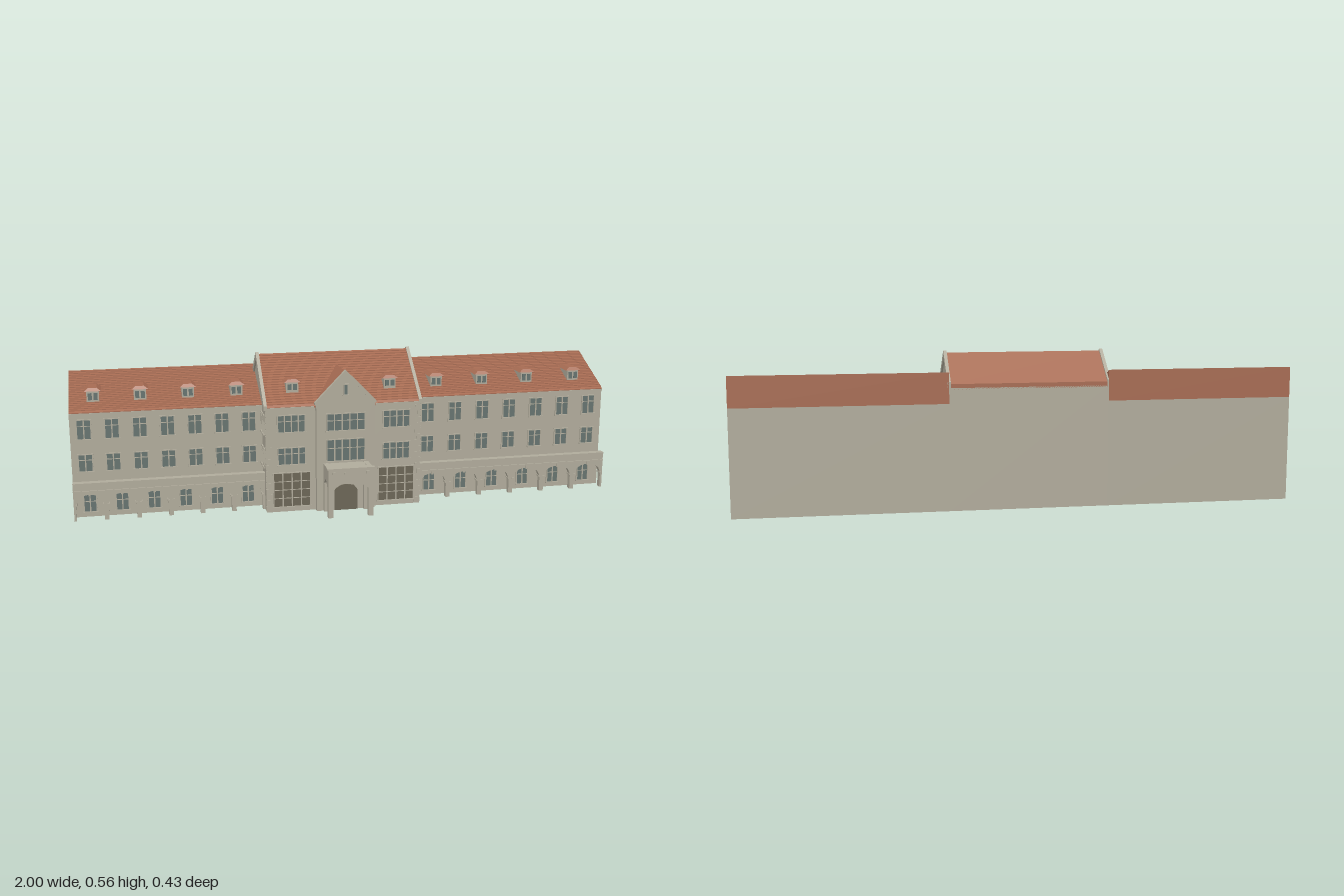
import * as THREE from 'three';
import { mergeGeometries } from 'three/addons/utils/BufferGeometryUtils.js';

const mat = (name, color, side = THREE.FrontSide) => {
  const m = new THREE.MeshStandardMaterial({ color, side });
  m.name = name;
  return m;
};

export function createModel() {
  const root = new THREE.Group();
  root.name = 'schoolBuilding';
  const wall = mat('stone wall', 0xb0ab9b, THREE.DoubleSide);
  const tile = mat('roof tile', 0xa66b52);
  const glass = mat('window glass', 0x66736f);
  const wood = mat('brown joinery', 0x6c6656);

  const add = (name, geo, m, parent = root) => {
    const mesh = new THREE.Mesh(geo, m);
    mesh.name = name;
    parent.add(mesh);
    return mesh;
  };
  // box given by its limits
  const box = (x0, x1, y0, y1, z0, z1) =>
    new THREE.BoxGeometry(x1 - x0, y1 - y0, z1 - z0).translate((x0 + x1) / 2, (y0 + y1) / 2, (z0 + z1) / 2);
  const shapeOf = pts => new THREE.Shape(pts.map(p => new THREE.Vector2(p[0], p[1])));
  // [x, y] outline extruded from z0 to z1
  const alongZ = (pts, z0, z1) =>
    new THREE.ExtrudeGeometry(shapeOf(pts), { depth: z1 - z0, bevelEnabled: false }).translate(0, 0, z0);
  // [z, y] outline extruded from x0 to x1
  const alongX = (pts, x0, x1) =>
    new THREE.ExtrudeGeometry(shapeOf(pts.map(([z, y]) => [-z, y])), { depth: x1 - x0, bevelEnabled: false })
      .rotateY(Math.PI / 2).translate(x0, 0, 0);
  // removes the faces lying on the ground, leaving an open shell
  const openBottom = geo => {
    const g = geo.index ? geo.toNonIndexed() : geo;
    const p = g.attributes.position, index = [];
    for (let i = 0; i < p.count; i += 3) {
      if (Math.max(p.getY(i), p.getY(i + 1), p.getY(i + 2)) > 0.001) index.push(i, i + 1, i + 2);
    }
    g.setIndex(index);
    return g;
  };
  // wall outline with arched openings that reach the ground
  const archOutline = (x0, x1, top, openings, spring, crown, pointed) => {
    const pts = [[x0, 0], [x0, top], [x1, top], [x1, 0]];
    for (const [l, r] of [...openings].reverse()) {
      pts.push([r, 0]);
      for (let i = 0; i <= 12; i++) {
        const t = 1 - i / 6;
        const k = pointed ? 1 - Math.abs(t) ** 1.3 : Math.sqrt(Math.max(0, 1 - t * t));
        pts.push([(l + r) / 2 + t * (r - l) / 2, spring + (crown - spring) * k]);
      }
      pts.push([l, 0]);
    }
    return pts;
  };
  // sawtooth line of tile courses rising from a to b in [z, y]
  const courses = (a, b, n, lip) => {
    const pts = [];
    for (let i = 0; i < n; i++) {
      const at = t => [a[0] + (b[0] - a[0]) * t, a[1] + (b[1] - a[1]) * t];
      const p = at(i / n), q = at((i + 1) / n);
      pts.push([p[0], p[1] + (i ? lip : 0)], q);
    }
    return pts;
  };
  // window facing +z with its base centre at the group origin
  const windowUnit = (name, x, y, z, w, h, cols, bars, pane = glass, turn = 0) => {
    const g = new THREE.Group();
    g.name = name;
    g.position.set(x, y, z);
    g.rotation.y = turn;
    add('pane', box(-w / 2, w / 2, 0, h, 0, 0.002), pane, g);
    const parts = [
      box(-w / 2 - 0.004, w / 2 + 0.004, -0.005, 0, 0, 0.008),
      box(-w / 2 - 0.003, w / 2 + 0.003, h, h + 0.003, 0, 0.005),
    ];
    for (let i = 0; i <= cols; i++) {
      const c = -w / 2 + w * i / cols, t = 0.0022;
      parts.push(box(c - t, c + t, 0, h, 0, 0.005));
    }
    for (const f of bars) parts.push(box(-w / 2, w / 2, h * f - 0.0012, h * f + 0.0012, 0, 0.004));
    add('frame', mergeGeometries(parts), wall, g);
    root.add(g);
  };
  // hipped dormer: front wall at z, base at y
  const dormer = (x, y, z, h, len) => {
    const g = new THREE.Group();
    g.name = 'dormer';
    g.position.set(x, y, z);
    add('dormerWall', box(-0.022, 0.022, -0.01, h, -len + 0.01, 0), wall, g);
    for (const s of [-1, 1]) add('dormerPane', box(s * 0.01 - 0.007, s * 0.01 + 0.007, 0.008, h - 0.007, 0, 0.002), glass, g);
    const roof = new THREE.BoxGeometry(0.06, 0.011, len);
    const p = roof.attributes.position;
    for (let i = 0; i < p.count; i++) {
      if (p.getY(i) > 0) p.setXYZ(i, p.getX(i) * 0.5, p.getY(i), p.getZ(i) * 0.8);
    }
    const flat = roof.toNonIndexed();
    flat.computeVertexNormals();
    add('dormerRoof', flat.translate(0, h + 0.0055, 0.005 - len / 2), tile, g);
    root.add(g);
  };

  // Wings: wall, tiled lean-to roof, windows, dormers and arcade
  const wings = [
    { x0: -1, x1: -0.32, dormers: [-0.915, -0.75, -0.58, -0.405] },
    { x0: 0.25, x1: 1, dormers: [0.35, 0.53, 0.71, 0.9] },
  ];
  for (const { x0, x1, dormers } of wings) {
    const len = x1 - x0;
    add('wingWall', openBottom(box(x0, x1, 0, 0.38, -0.215, 0.015)), wall);
    const line = courses([0.018, 0.384], [-0.215, 0.49], 24, 0.0025);
    add('wingRoof', alongX([[0.018, 0.38], ...line, [-0.215, 0.38]], x0, x1), tile);
    add('wingEaves', box(x0, x1, 0.374, 0.381, 0.015, 0.02), wall);
    for (let i = 0; i < 7; i++) {
      const x = x0 + len * (i + 0.5) / 7;
      windowUnit('upperWindow', x, 0.288, 0.015, 0.05, 0.068, 2, [0.68]);
      windowUnit('middleWindow', x, 0.17, 0.015, 0.05, 0.06, 2, [0.68]);
    }
    for (const x of dormers) dormer(x, 0.408, -0.035, 0.04, 0.09);

    const bay = len / 6, openings = [];
    for (let i = 0; i < 6; i++) {
      const c = x0 + bay * (i + 0.5), r = bay / 2 - 0.008;
      openings.push([c - r, c + r]);
      windowUnit('groundWindow', c, 0.02, 0.015, 0.045, 0.063, 2, [0.6]);
      // pier base, capital and arch keystone
      for (const e of [c - r, c + r]) add('pierCapital', box(e - 0.004, e + 0.004, 0.056, 0.061, 0.041, 0.065), wall);
      add('keystone', box(c - 0.004, c + 0.004, 0.092, 0.107, 0.062, 0.065), wall);
    }
    add('arcade', alongZ(archOutline(x0, x1, 0.108, openings, 0.058, 0.096, false), 0.042, 0.062), wall);
    add('arcadeCornice', box(x0, x1, 0.106, 0.111, 0.042, 0.067), wall);
    add('arcadeParapet', box(x0, x1, 0.111, 0.135, 0.043, 0.062), wall);
    add('parapetCap', box(x0, x1, 0.135, 0.14, 0.042, 0.068), wall);
    add('terrace', box(x0, x1, 0.112, 0.118, 0.015, 0.043), wall);
  }

  // Central block: shell, gable slabs and tiled saddle roof
  const L = -0.32, R = 0.25, C = -0.0325;
  const body = [[0.105, 0], [0.105, 0.385], [-0.09, 0.535], [-0.215, 0.435], [-0.215, 0]];
  add('centralWall', openBottom(alongX(body, L, R)), wall);
  const front = courses([0.109, 0.39], [-0.09, 0.549], 22, 0.003);
  add('centralRoof', alongX([[0.109, 0.383], ...front, [-0.215, 0.449], [-0.215, 0.43], [-0.09, 0.53]], L + 0.006, R - 0.006), tile);
  const coping = [[0.107, 0.38], [0.107, 0.396], [-0.09, 0.556], [-0.215, 0.456], [-0.215, 0.43], [-0.09, 0.53]];
  for (const x of [L, R]) add('gableCoping', alongX(coping, x - 0.006, x + 0.006), wall);
  for (const [a, b] of [[L, -0.145], [0.08, R]]) add('centralEaves', box(a, b, 0.38, 0.389, 0.105, 0.112), wall);
  for (const x of [-0.215, 0.145]) dormer(x, 0.433, 0.06, 0.036, 0.055);

  // Corner stones on the central block
  const quoins = [];
  for (let i = 0; i < 17; i++) {
    const w = i % 2 ? 0.012 : 0.02, y = 0.006 + i * 0.022;
    quoins.push(box(L - 0.002, L + w, y, y + 0.017, 0.1, 0.107), box(R - w, R + 0.002, y, y + 0.017, 0.1, 0.107));
  }
  add('cornerStones', mergeGeometries(quoins), wall);

  // Windows of the central block, front and flanks
  for (const x of [-0.2275, 0.16]) {
    windowUnit('centralUpperWindow', x, 0.298, 0.105, 0.1, 0.06, 4, [0.65]);
    windowUnit('centralMiddleWindow', x, 0.178, 0.105, 0.1, 0.06, 4, [0.65]);
    windowUnit('hallWindow', x, 0.02, 0.105, 0.135, 0.125, 4, [0.25, 0.5, 0.75], wood);
  }
  for (const s of [-1, 1]) for (const z of [0.073, 0.031]) for (const [y, h] of [[0.29, 0.066], [0.168, 0.064]]) {
    windowUnit('flankWindow', s > 0 ? R : L, y, z, 0.026, h, 1, [0.75], glass, s * Math.PI / 2);
  }

  // Projecting entrance gable with its own roof
  const gx0 = -0.14, gx1 = 0.075;
  add('entranceBay', openBottom(alongZ([[gx0, 0], [gx1, 0], [gx1, 0.4], [C, 0.51], [gx0, 0.4]], 0.1, 0.125)), wall);
  add('entranceRoof', alongZ([[gx0 - 0.005, 0.394], [gx1 + 0.005, 0.394], [C, 0.51]], -0.035, 0.113), tile);
  const rake = [[gx0 - 0.005, 0.396], [gx0 + 0.008, 0.396], [C, 0.506], [gx1 - 0.008, 0.396], [gx1 + 0.005, 0.396], [gx1 + 0.005, 0.404], [C, 0.519], [gx0 - 0.005, 0.404]];
  add('entranceCoping', alongZ(rake, 0.112, 0.128), wall);
  windowUnit('gableSlit', C, 0.43, 0.125, 0.016, 0.036, 1, []);
  windowUnit('entranceUpperWindow', C, 0.3, 0.125, 0.14, 0.06, 5, [0.6]);
  windowUnit('entranceMiddleWindow', C, 0.187, 0.125, 0.14, 0.078, 5, [0.6]);

  // Entrance door
  const door = archOutline(-0.075, 0.01, 0.1, [], 0, 0, false);
  door.splice(1, 2, [-0.075, 0.075], [-0.062, 0.092], [C, 0.097], [-0.003, 0.092], [0.01, 0.075]);
  add('door', alongZ(door, 0.125, 0.129), wood);

  // Porch: arched front and sides, roof slab and cap
  const px0 = -0.115, px1 = 0.05;
  add('porchFront', alongZ(archOutline(px0, px1, 0.179, [[px0 + 0.018, px1 - 0.018]], 0.105, 0.138, true), 0.197, 0.215), wall);
  const side = archOutline(-0.197, -0.125, 0.179, [[-0.197 + 0.0005, -0.138]], 0.11, 0.132, true).map(([u, y]) => [-u, y]);
  for (const x of [px0, px1 - 0.018]) add('porchSide', alongX(side, x, x + 0.018), wall);
  add('porchRoof', box(px0 + 0.018, px1 - 0.018, 0.16, 0.178, 0.125, 0.197), wall);
  add('porchCap', box(px0 - 0.004, px1 + 0.004, 0.178, 0.183, 0.2, 0.219), wall);
  for (let i = 0; i < 4; i++) {
    const x = px0 + 0.021 + i * 0.041;
    add('porchOrnament', box(x - 0.005, x + 0.005, 0.16, 0.169, 0.215, 0.218), wall);
  }
  return root;
}
